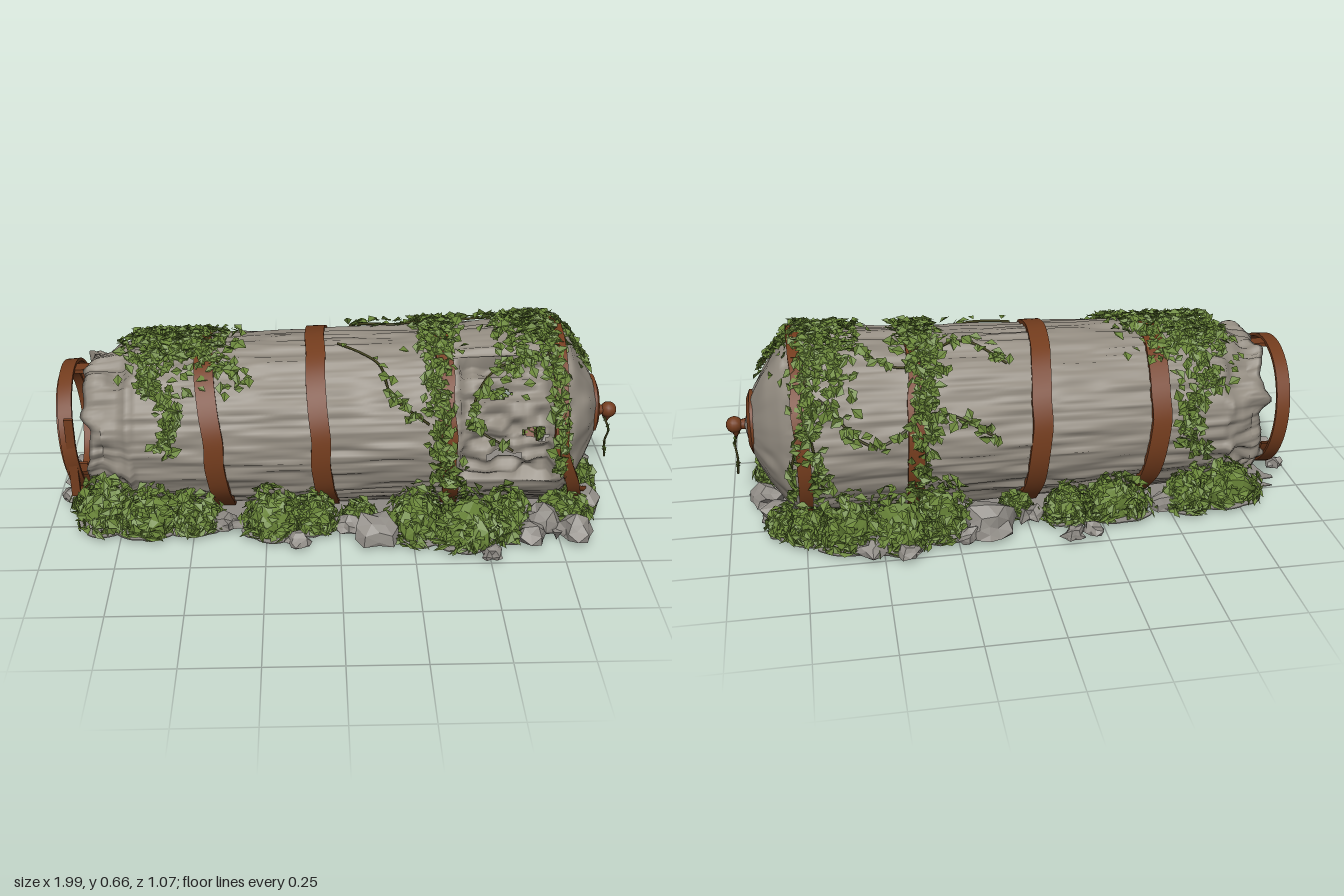
import * as THREE from 'three';
import { mergeGeometries, toCreasedNormals } from 'three/addons/utils/BufferGeometryUtils.js';

const mat = (name, color, side = THREE.FrontSide) => Object.assign(new THREE.MeshStandardMaterial({ color, side }), { name });
const GROUND = 0.02, CZ = -0.03;

// Seeded random numbers and smooth value noise
let seed = 7;
const rnd = () => { seed = (seed * 16807) % 2147483647; return seed / 2147483647; };
const spread = () => rnd() + rnd() + rnd() - 1.5;
const hash = (i, j) => { const s = Math.sin(i * 127.1 + j * 311.7) * 43758.5453; return s - Math.floor(s); };
function noise(x, y) {
  const i = Math.floor(x), j = Math.floor(y), L = THREE.MathUtils.lerp;
  const u = THREE.MathUtils.smoothstep(x - i, 0, 1), v = THREE.MathUtils.smoothstep(y - j, 0, 1);
  return L(L(hash(i, j), hash(i + 1, j), u), L(hash(i, j + 1), hash(i + 1, j + 1), u), v) - 0.5;
}

// Hull outline: radius and axis height along x; angle 0 is the top, positive turns to the front
const PROFILE = [[-0.86, 0.23], [-0.84, 0.25], [-0.74, 0.265], [-0.71, 0.292], [-0.4, 0.3], [0.3, 0.31], [0.75, 0.325],
  [0.8, 0.285], [0.86, 0.2], [0.9, 0.12], [0.925, 0.05], [0.935, 0]];
function radius(x) {
  const k = PROFILE.findIndex(p => p[0] >= x);
  if (k <= 0) return PROFILE[k < 0 ? PROFILE.length - 1 : 0][1];
  const [a, b] = [PROFILE[k - 1], PROFILE[k]];
  return THREE.MathUtils.lerp(a[1], b[1], (x - a[0]) / (b[0] - a[0]));
}
function polar(x, a, r) {
  const cy = 0.28 + 0.018 * x;
  return new THREE.Vector3(x, Math.max(GROUND, cy + r * Math.cos(a)), CZ + r * Math.sin(a));
}
const onHull = (x, a, off = 0) => polar(x, a, radius(x) + off);
const curve = pts => new THREE.CatmullRomCurve3(pts.map(p => new THREE.Vector3(...p)));

// Surface from a point rule, with optional missing cells
function grid(nu, nv, point, skip = () => false) {
  const pos = [], index = [];
  for (let i = 0; i <= nu; i++) for (let j = 0; j <= nv; j++) pos.push(...point(i, j / nv).toArray());
  for (let i = 0; i < nu; i++) for (let j = 0; j < nv; j++) {
    if (skip(i, j / nv)) continue;
    const a = i * (nv + 1) + j, b = a + nv + 1;
    index.push(a, a + 1, b, a + 1, b + 1, b);
  }
  const g = new THREE.BufferGeometry();
  g.setAttribute('position', new THREE.Float32BufferAttribute(pos, 3));
  g.setIndex(index);
  g.computeVertexNormals();
  return g;
}

// Weathered hull with a crumpled end, lengthwise streaks, a dented dome and a torn front
const HOLES = [[0.52, 0.85, 0.055, 0.07], [0.65, 1.35, 0.045, 0.11], [0.55, 1.62, 0.06, 0.04]];
function hullGeometry() {
  const N = 120, X = i => -0.86 + 1.795 * Math.max(0, i - 1) / (N - 1), A = v => (v * 2 - 1) * Math.PI;
  return grid(N, 200, (i, v) => {
    let x = X(i), a = A(v), r = radius(x);
    if (i === 0) return polar(-0.84, a, 0);
    let d = noise(x * 5, a * 14) * 0.014 + noise(x * 6, a * 30) * 0.014;
    if (x < -0.7) d += noise(x * 16, a * 4) * 0.06;
    if (x > 0.77) d = (noise(x * 14, a * 3) * 0.04 + noise(x * 20, a * 6) * 0.015) * Math.min(1, r * 5);
    if (x > 0.42 && x < 0.71 && a > 0.5 && a < 1.9) d -= 0.01 + (noise(x * 22, a * 7) + 0.5) * 0.06;
    if (x < -0.8) x += noise(1, a * 5) * 0.05;
    return polar(x, a, r + d);
  }, (i, v) => HOLES.some(([x, a, sx, sa]) =>
    ((X(i) - x) / sx) ** 2 + ((A(v) - a) / sa) ** 2 < 0.8 + noise(X(i) * 40, v * 90) * 1.2));
}

// Flat hoop that follows the hull, shifted along x by a rule
function hoop(shift, w, off) {
  const section = [[-w / 2, -0.01], [-w / 2, off], [w / 2, off], [w / 2, -0.01]];
  return toCreasedNormals(grid(3, 96, (i, v) => {
    const a = (v * 2 - 1) * Math.PI, x = shift(a) + noise(w * 90, a * 3) * 0.012, [dx, d] = section[i];
    const p = polar(x + dx, a, radius(Math.min(x, 0.74)) + d + noise(3, a * 4) * 0.004);
    if (p.y <= GROUND) p.y = GROUND - 0.002;
    return p;
  }), 0.7);
}

// Folded leaf added to a list of triangle corners
function addLeaf(list, p, normal, size, long = 1) {
  const dir = new THREE.Vector3(spread(), spread(), spread()).normalize();
  const n = normal.clone().addScaledVector(dir, 0.6).normalize();
  const t = new THREE.Vector3(spread(), spread(), spread()).cross(n).normalize();
  const s = new THREE.Vector3().crossVectors(n, t);
  const at = (u, v, h) => {
    const q = p.clone().addScaledVector(t, u * size * long).addScaledVector(s, v * size / long).addScaledVector(n, h * size);
    q.y = Math.max(GROUND, q.y);
    return q.toArray();
  };
  const [a, b, c, d] = [at(-0.6, 0, 0), at(0.1, 0.5, 0.2), at(0.75, 0, -0.1), at(0.1, -0.5, 0.2)];
  list.push(...a, ...d, ...c, ...a, ...c, ...b);
}
function leafGeometry(list) {
  const g = new THREE.BufferGeometry();
  g.setAttribute('position', new THREE.Float32BufferAttribute(list, 3));
  g.computeVertexNormals();
  return g;
}

// Faceted lump resting on the ground, used for stones and bush cores
function lump(x, z, rx, h, rz, detail, rough) {
  const g = new THREE.IcosahedronGeometry(1, detail), p = g.attributes.position, k = x * 31 + z * 17;
  for (let i = 0; i < p.count; i++) {
    const [a, b, c] = [p.getX(i), p.getY(i), p.getZ(i)];
    const s = 1 + rough * (noise(a * 2.3 + k, b * 2.3 + c * 3.1) + noise(c * 3 - k, a * 2 + 9));
    p.setXYZ(i, x + a * s * rx, Math.max(GROUND, GROUND + (b * s + 0.25) * h * 0.8), z + c * s * rz);
  }
  g.computeVertexNormals();
  return g;
}

// Ragged flat plate of earth, n corners, drawn on the ground
function plate(x, z, rx, rz, n, power) {
  const f = p => Math.sign(p) * Math.abs(p) ** power;
  const shape = new THREE.Shape(Array.from({ length: n }, (_, i) => {
    const t = i / n * Math.PI * 2, k = 1 + noise(i * 0.45 + x * 50, 2) * 0.2;
    return new THREE.Vector2(x + rx * f(Math.cos(t)) * k, -z + rz * f(Math.sin(t)) * k);
  }));
  return new THREE.ExtrudeGeometry(shape, { depth: 0.004, bevelEnabled: false }).rotateX(-Math.PI / 2);
}

// Bushes: x, z, half length, height, half depth
const BUSHES = [
  [-0.8, 0.25, 0.09, 0.16, 0.08], [-0.66, 0.28, 0.1, 0.14, 0.08], [-0.5, 0.27, 0.09, 0.11, 0.07], [-0.23, 0.3, 0.09, 0.14, 0.08],
  [-0.09, 0.29, 0.07, 0.12, 0.06], [0.27, 0.33, 0.1, 0.15, 0.09], [0.43, 0.36, 0.11, 0.16, 0.1],
  [0.57, 0.33, 0.07, 0.14, 0.08], [0.78, 0.26, 0.08, 0.09, 0.06], [0.85, 0.09, 0.06, 0.12, 0.07], [0.82, -0.28, 0.05, 0.07, 0.06],
  [-0.7, -0.32, 0.11, 0.13, 0.07], [-0.56, -0.34, 0.07, 0.12, 0.07], [-0.3, -0.36, 0.11, 0.13, 0.06], [-0.14, -0.36, 0.08, 0.11, 0.05],
  [0.3, -0.38, 0.09, 0.17, 0.07], [0.45, -0.42, 0.1, 0.17, 0.08], [0.6, -0.4, 0.1, 0.16, 0.07],
  [0.73, -0.34, 0.07, 0.11, 0.06], [-0.88, 0.12, 0.05, 0.06, 0.08], [0.07, 0.27, 0.05, 0.07, 0.04], [0.04, -0.31, 0.05, 0.07, 0.03]];
// Stones: x, z, size
const STONES = [[-0.2, -0.47, 0.035], [-0.13, -0.49, 0.035], [0.15, -0.41, 0.085], [0.42, -0.505, 0.035], [0.54, -0.47, 0.05],
  [-0.15, 0.4, 0.04], [0.13, 0.36, 0.075], [0.03, 0.31, 0.04], [0.5, 0.49, 0.035], [0.8, 0.37, 0.06], [0.64, 0.38, 0.055],
  [0.7, 0.3, 0.07], [0.88, -0.09, 0.055], [0.85, 0.19, 0.065], [0.83, -0.2, 0.06], [-0.96, -0.13, 0.03], [-0.95, 0.1, 0.035],
  [-0.93, -0.02, 0.05], [-0.38, 0.29, 0.045], [-0.47, -0.35, 0.05], [0.0, -0.34, 0.04], [-0.82, -0.25, 0.04], [0.22, -0.45, 0.04]];
// Vines: hull points (x, angle), leaf count, leaf scatter
const VINES = [
  [[[-0.6, 0.1], [-0.66, 0.6], [-0.56, 1.0], [-0.6, 1.4]], 110, 0.04],
  [[[-0.68, -0.3], [-0.52, 0.1], [-0.38, 0.5], [-0.34, 0.7]], 100, 0.05],
  [[[-0.6, -0.2], [-0.64, -0.8], [-0.55, -1.3], [-0.6, -1.8]], 150, 0.05],
  [[[0.36, -2], [0.33, -1], [0.35, 0], [0.33, 1], [0.38, 2]], 420, 0.05],
  [[[0, 0.2], [0.13, 0.5], [0.18, 0.9], [0.3, 1.2]], 18, 0.02],
  [[[0.05, -0.6], [0.2, -0.25], [0.4, -0.6], [0.58, -0.3]], 40, 0.025],
  [[[0.1, -1.4], [0.3, -1.1], [0.5, -1.4], [0.68, -0.9]], 50, 0.03],
  [[[0.68, -1.9], [0.72, -1], [0.7, 0], [0.73, 1], [0.75, 1.8]], 250, 0.03],
  [[[0.7, 0.1], [0.79, -0.05], [0.83, 0.1], [0.86, 0.2]], 110, 0.022],
  [[[0.74, -1.2], [0.78, -1.6], [0.78, -1.9], [0.8, -2.1]], 30, 0.012],
  [[[0.72, 0.5], [0.55, 0.6], [0.45, 1.2], [0.58, 1.5]], 35, 0.02]];
// Leaf patches on top: x, angle, spread in x, spread in angle, count
const PATCHES = [[-0.6, -0.1, 0.15, 0.55, 420], [-0.45, 0, 0.1, 0.45, 120], [0.34, -0.1, 0.09, 0.5, 140], [0.66, -0.1, 0.12, 0.7, 420]];

export function createModel() {
  const group = new THREE.Group();
  const hullGrey = mat('weathered grey', 0x928b80), stone = mat('stone grey', 0x8f8b85, THREE.DoubleSide);
  const rust = mat('rusty brown', 0x733c1d, THREE.DoubleSide), vineBrown = mat('vine stem', 0x45441f);
  const green = mat('leaf green', 0x6b8739, THREE.DoubleSide);
  const add = (name, geo, material) => {
    const m = new THREE.Mesh(geo, material);
    m.name = name;
    group.add(m);
  };

  add('hull', hullGeometry(), hullGrey);

  // Rusty hoops around the hull
  add('leftHoop', hoop(a => -0.435 - 0.035 * Math.cos(a) + 0.015 * Math.sin(a), 0.066, 0.014), rust);
  add('middleHoop', hoop(a => -0.05 - 0.03 * Math.cos(a) - 0.01 * Math.sin(a), 0.066, 0.014), rust);
  add('thinHoop', hoop(a => 0.37 - 0.015 * Math.cos(a), 0.055, 0.014), rust);
  add('domeHoop', hoop(a => 0.745 + 0.12 * Math.max(0, Math.sin(a)) * Math.max(0, 0.1 - Math.cos(a)), 0.045, 0.015), rust);
  for (const d of [0, 0.022])
    add('sprungHoopEnd', new THREE.TubeGeometry(curve([[0.77, 0.22 - d, 0.285 - d], [0.82, 0.13 - d, 0.24 - d], [0.88, 0.07 - d, 0.16 - d]]), 16, 0.01, 6), rust);

  // Loose hoops and straps at the left end
  const loop = (x, r, w, arc, from, lean) => toCreasedNormals(new THREE.LatheGeometry(
    [[r - 0.012, -w], [r, -w], [r, w], [r - 0.012, w], [r - 0.012, -w]].map(p => new THREE.Vector2(...p)), 56, from, arc)
    .rotateZ(Math.PI / 2 + lean).translate(x, 0.255, -0.025), 0.7);
  add('looseHoop', loop(-0.915, 0.235, 0.024, Math.PI * 2, 0, 0.09), rust);
  add('innerHoop', loop(-0.935, 0.205, 0.016, Math.PI * 2, 0, 0.09), rust);
  add('brokenHoop', loop(-0.885, 0.225, 0.02, 2.4, Math.PI * 1.12, 0.05), rust);
  for (const [x, y, z, w, h, d] of [[-0.905, 0.475, -0.03, 0.09, 0.014, 0.05], [-0.91, 0.25, 0.2, 0.03, 0.3, 0.014], [-0.89, 0.11, 0.15, 0.04, 0.18, 0.014]])
    add('hoopStrap', new THREE.BoxGeometry(w, h, d).translate(x, y, z), rust);

  // Dome fittings
  add('domeRing', toCreasedNormals(new THREE.LatheGeometry(
    [[0.084, 0], [0.112, -0.012], [0.112, -0.035], [0.084, -0.03], [0.084, 0]].map(p => new THREE.Vector2(...p)), 48, 1.0, 5.75)
    .rotateZ(-Math.PI / 2).translate(0.922, 0.307, -0.025), 0.7), rust);
  add('knob', new THREE.SphereGeometry(0.029, 14, 10).translate(0.97, 0.294, -0.012), rust);
  add('knobStem', new THREE.CylinderGeometry(0.014, 0.024, 0.06, 12).rotateZ(-Math.PI / 2).translate(0.935, 0.294, -0.012), rust);
  add('knobTip', new THREE.ConeGeometry(0.022, 0.04, 8).rotateX(Math.PI).translate(0.968, 0.262, -0.012), rust);

  // Stones and the ragged earth underneath
  add('stones', mergeGeometries(STONES.map(([x, z, s]) => lump(x, z, s * 1.05, s * 1.1, s * 0.9, 1, 0.7))), stone);
  add('shard', new THREE.ConeGeometry(0.02, 0.04, 5).rotateX(Math.PI).translate(0.74, 0.02, 0.37), stone);
  add('bed', plate(-0.02, CZ, 0.9, 0.31, 120, 0.5).translate(0, GROUND + 0.001, 0), stone);
  add('earthPatches', mergeGeometries([[0.55, CZ, 0.3, 0, 0.28], ...BUSHES].map(([x, z, rx, , rz]) => plate(x, z, rx * 1.12, rz * 1.12, 40, 1)))
    .translate(0, GROUND - 0.004, 0), stone);

  // Bushes: a solid core wrapped in leaves and grass
  add('bushCores', mergeGeometries(BUSHES.map(([x, z, rx, h, rz]) => lump(x, z, rx * 0.75, h * 0.78, rz * 0.75, 3, 0.7))), green);
  const bushLeaves = [], grass = [];
  for (const [x, z, rx, h, rz] of BUSHES) for (let i = 0; i < 190; i++) {
    const n = new THREE.Vector3(spread(), Math.abs(spread()) * 0.9, spread()).normalize(), k = 0.75 + rnd() * 0.5;
    addLeaf(bushLeaves, new THREE.Vector3(x + n.x * rx * k, GROUND + n.y * h * k, z + n.z * rz * k), n, 0.024 + rnd() * 0.016);
    if (i % 6 === 0) {
      const q = new THREE.Vector3(x + n.x * rx * 1.25, GROUND + rnd() * 0.03, z + n.z * rz * 1.25);
      addLeaf(grass, q, new THREE.Vector3(n.x, 0.1, n.z), 0.03, 1.8);
    }
  }
  add('bushLeaves', leafGeometry(bushLeaves), green);
  add('grass', leafGeometry(grass), green);

  // Vines and leaf patches growing over the hull
  const ivy = [], stems = [];
  const hullLeaf = (x, a) => {
    const n = new THREE.Vector3(x > 0.76 ? 1 : 0, Math.cos(a), Math.sin(a)).normalize();
    addLeaf(ivy, onHull(x, a, 0.012 + rnd() * 0.016), n, 0.022 + rnd() * 0.018);
  };
  for (const [pts, count, scatter] of VINES) {
    const path = curve(pts);
    const line = path.getPoints(24).map(p => onHull(p.x, p.y, 0.012));
    stems.push(new THREE.TubeGeometry(new THREE.CatmullRomCurve3(line), 60, 0.0045, 5));
    for (let i = 0; i < count; i++) {
      const p = path.getPoint(rnd());
      hullLeaf(p.x + spread() * scatter, p.y + spread() * scatter * 3);
    }
  }
  for (const [x, a, sx, sa, count] of PATCHES) for (let i = 0; i < count; i++) hullLeaf(x + spread() * sx, a + spread() * sa * 1.3);
  const hang = curve([[0.95, 0.28, -0.01], [0.975, 0.22, 0], [0.97, 0.16, -0.015], [0.975, 0.1, -0.01]]);
  stems.push(new THREE.TubeGeometry(hang, 20, 0.004, 5));
  for (let i = 0; i < 16; i++) addLeaf(ivy, hang.getPoint(rnd()), new THREE.Vector3(1, 0, 0), 0.02);
  add('vineStems', mergeGeometries(stems), vineBrown);
  add('vineLeaves', leafGeometry(ivy), green);
  return group;
}
